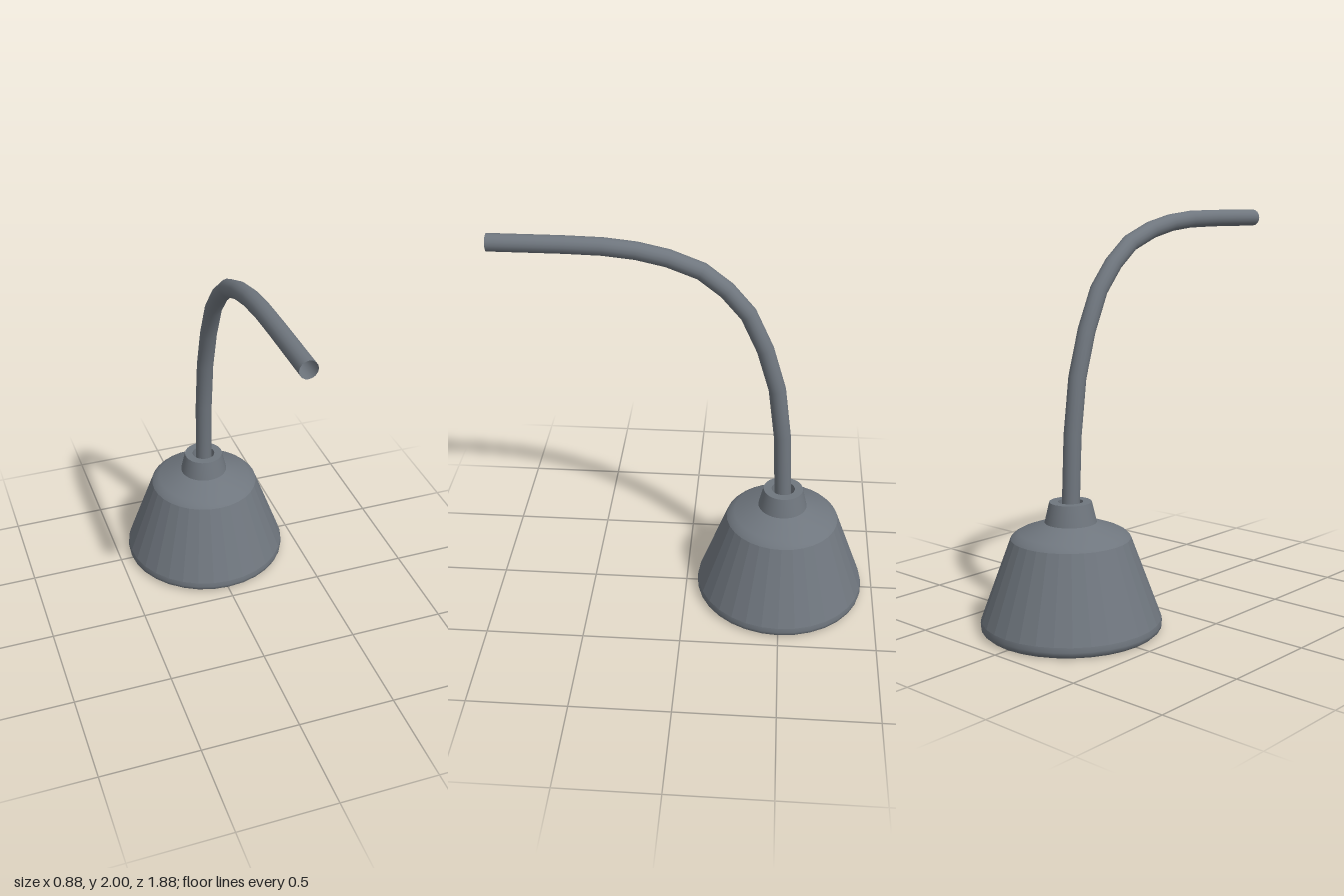
import * as THREE from 'three';
import { toCreasedNormals } from 'three/addons/utils/BufferGeometryUtils.js';

const SEGMENTS = 32;
const AXIS_Z = -0.5;

export function createModel() {
  const model = new THREE.Group();
  model.name = 'gooseneckLamp';
  const metal = new THREE.MeshStandardMaterial({ color: 0x6f767e, side: THREE.DoubleSide });
  metal.name = 'slateGrey';

  // Turned part around the shade axis; edges sharper than crease stay hard
  const addTurned = (name, profile, crease) => {
    const points = profile.map(([r, y]) => new THREE.Vector2(r, y));
    const geometry = toCreasedNormals(new THREE.LatheGeometry(points, SEGMENTS), crease);
    const mesh = new THREE.Mesh(geometry, metal);
    mesh.name = name;
    mesh.position.z = AXIS_Z;
    model.add(mesh);
  };

  // Recessed underside with its inner wall
  addTurned('shadeRecess', [[0, 0.12], [0.365, 0.12], [0.38, 0.01]], 0.5);
  // Rolled lower rim
  addTurned('shadeRim', [[0.38, 0.01], [0.4, 0], [0.423, 0.002], [0.437, 0.015], [0.44, 0.032], [0.436, 0.055]], 0.8);
  // Faceted conical wall
  addTurned('shadeWall', [[0.436, 0.055], [0.29, 0.452]], 0.05);
  // Softly rounded shoulder
  addTurned('shadeShoulder', [[0.29, 0.452], [0.277, 0.466], [0.25, 0.482], [0.12, 0.53]], 0.5);
  // Tapered collar with a hole for the neck
  addTurned('collar', [[0.126, 0.526], [0.102, 0.628], [0.06, 0.628], [0.06, 0.55], [0, 0.55]], 0.5);

  // Hollow bent neck, one ring per listed point (z, y)
  const bend = [
    [-0.5, 0.55], [-0.497, 0.63], [-0.482, 0.946], [-0.446, 1.22], [-0.38, 1.44], [-0.294, 1.627],
    [-0.19, 1.749], [-0.07, 1.843], [0.088, 1.904], [0.237, 1.937], [0.393, 1.953], [0.58, 1.957], [0.94, 1.957],
  ];
  const path = new THREE.CatmullRomCurve3(bend.map(([z, y]) => new THREE.Vector3(0, y, z)));
  path.getPointAt = path.getPoint;
  path.getTangentAt = path.getTangent;
  const neck = new THREE.Mesh(new THREE.TubeGeometry(path, bend.length - 1, 0.043, 16), metal);
  neck.name = 'neck';
  model.add(neck);

  return model;
}
